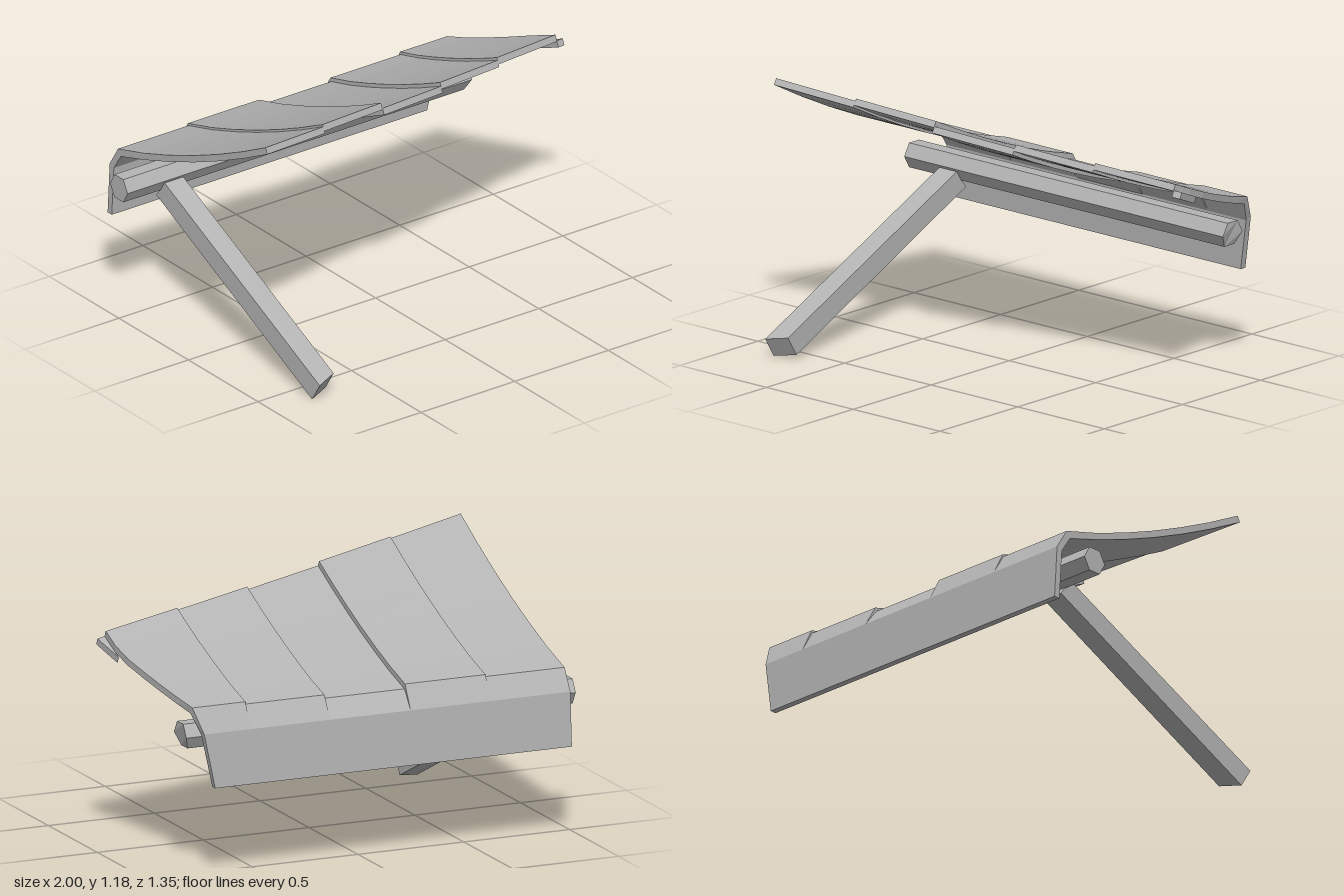
import * as THREE from 'three';

const metal = new THREE.MeshStandardMaterial({ color: 0xb4b4b4, flatShading: true });
metal.name = 'plain grey';

const lerp = THREE.MathUtils.lerp;

// Solid between two matching outlines of [x, y, z] points; caps are strips of quads
function loft(name, a, b) {
  const pos = [], m = a.length;
  const quad = (p, q, r, s) => pos.push(...p, ...q, ...r, ...p, ...r, ...s);
  for (let i = 0; i < m; i++) {
    const j = (i + 1) % m;
    quad(a[i], b[i], b[j], a[j]);
  }
  for (let i = 0; i < m / 2 - 1; i++) {
    const k = m - 1 - i;
    quad(a[i], a[i + 1], a[k - 1], a[k]);
    quad(b[k], b[k - 1], b[i + 1], b[i]);
  }
  const geo = new THREE.BufferGeometry();
  geo.setAttribute('position', new THREE.Float32BufferAttribute(pos, 3));
  geo.computeVertexNormals();
  const mesh = new THREE.Mesh(geo, metal);
  mesh.name = name;
  return mesh;
}

const THICK = 0.03, BEND = -0.58, ROWS = 6;
const frontZ = x => 0.25 - 0.241 * x;               // swept front edge
const tipX = z => 0.825 + (z + 0.6) * 0.285;        // slanted outer end
const underY = z => { const s = z - BEND; return 0.725 + 0.284 * s + 0.119 * s * s; };
const slope = z => 0.284 + 0.238 * (z - BEND);

// Cross-section of one panel at x, shifted along its normal by off
function section(x, off, back, full) {
  const under = [], over = [];
  const add = (px, z0, y0, z1, y1) => {
    under.push([px, y0, z0]);
    over.unshift([px, y1, z1]);
  };
  if (full) {
    // turned-down rear plate and bend
    add(Math.min(x, 0.755), -0.645, 0.42, -0.675, 0.42);
    add(Math.min(x, 0.8), -0.63, 0.65, -0.66, 0.66);
  }
  for (let i = 0; i <= ROWS; i++) {
    const z = lerp(back, frontZ(x), i / ROWS);
    const k = slope(z), len = Math.hypot(k, 1);
    const nz = -k / len, ny = 1 / len;
    const px = Math.min(x, tipX(z));
    const miter = full && i === 0 ? -0.012 : 0;
    add(px, z + nz * off, underY(z) + ny * off,
      z + nz * (off + THICK) + miter, underY(z) + ny * (off + THICK));
  }
  return [...under, ...over];
}

export function createModel() {
  const group = new THREE.Group();
  group.name = 'bentPanelOnBeam';

  // Five overlapping roof panels at slightly different heights
  const edges = [-0.93, -0.555, -0.175, 0.205, 0.58, 0.96];
  const offsets = [0, 0.01, -0.014, 0.003, 0.015];
  offsets.forEach((off, i) => {
    group.add(loft(`panel${i + 1}`,
      section(edges[i], off, BEND, true), section(edges[i + 1], off, BEND, true)));
  });

  // Small triangular tip
  group.add(loft('panelTip', section(0.96, -0.012, -0.126, false), section(1.0, -0.012, -0.126, false)));

  // Six-sided beam with its far end trimmed underneath
  const hex = end => Array.from({ length: 6 }, (_, i) => {
    const a = (i - 2) * Math.PI / 3, s = Math.sin(a);
    return [end < 0 ? -1 : s < -0.1 ? 0.82 : 0.84, 0.625 + 0.063 * s, -0.5 + 0.063 * Math.cos(a)];
  });
  group.add(loft('beam', hex(-1), hex(1)));

  // Sloping strut with a skewed foot
  const strut = (x, dz, dy) => [
    [x, 0.535, -0.5], [x, 0.003 + dy, 0.62 - dz],
    [x, 0.09 + dy, 0.675 - dz], [x, 0.615, -0.44],
  ];
  group.add(loft('strut', strut(-0.8, 0, 0), strut(-0.7, 0.035, 0.016)));

  return group;
}
